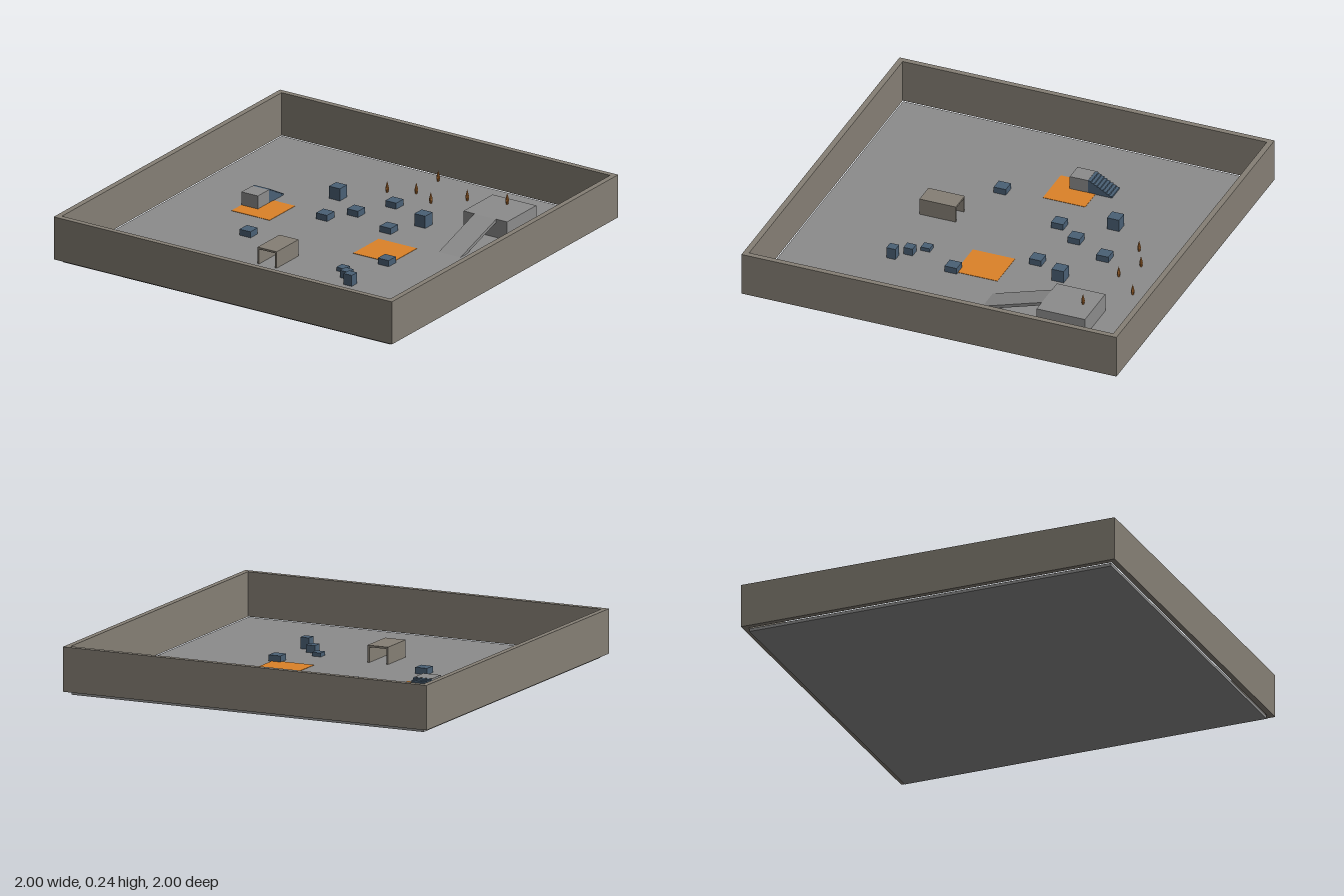
import * as THREE from 'three';

const U = 2 / 62; // one layout unit
const FLOOR = 0.5 * U; // height of the floor's top

const mat = (color) => new THREE.MeshStandardMaterial({ color, flatShading: true });

export function createModel() {
  const model = new THREE.Group();
  const grey = mat(0x8c8c8c);
  const stone = mat(0x857f75);
  const blue = mat(0x4a6075);
  const orange = mat(0xdc8228);
  const brown = mat(0xb87333);

  function add(name, geometry, material, x, y, z, parent = model) {
    const mesh = new THREE.Mesh(geometry, material);
    mesh.name = name;
    mesh.position.set(x, y, z);
    parent.add(mesh);
    return mesh;
  }

  // Box sized in layout units, standing on height y0 (also in units above the floor)
  function block(name, material, x, z, w, h, d, y0 = 0, parent = model) {
    return add(name, new THREE.BoxGeometry(w * U, h * U, d * U), material,
      x * U, FLOOR + (y0 + h / 2) * U, z * U, parent);
  }

  // Floor slab
  block('floor', grey, 0, 0, 60, 0.5, 60, -0.5);

  // Perimeter wall as one square frame
  const square = (T, r) => {
    const s = new T();
    s.moveTo(-r, -r);
    s.lineTo(r, -r);
    s.lineTo(r, r);
    s.lineTo(-r, r);
    s.closePath();
    return s;
  };
  const frame = square(THREE.Shape, 1);
  frame.holes.push(square(THREE.Path, 30.1 * U));
  const wall = new THREE.ExtrudeGeometry(frame, { depth: 7 * U, bevelEnabled: false });
  wall.rotateX(-Math.PI / 2);
  add('perimeterWall', wall, stone, 0, FLOOR + 0.002, 0);

  // Flat marked pads
  for (const [x, z] of [[-16, -4], [9, 0]]) block('pad', orange, x, z, 7, 0.06, 7);

  // Raised platform and its tilted ramp
  block('platform', grey, 18, -18, 8, 3, 8);
  const run = 9.75, rise = 3, thick = 0.5;
  const angle = Math.atan2(rise, run);
  const ramp = block('ramp', grey, 18, 0, 4, thick, Math.hypot(run, rise));
  ramp.rotation.x = angle;
  ramp.position.z = (-14 + run / 2 - Math.sin(angle) * thick / 2) * U;
  ramp.position.y = FLOOR + (rise / 2 - Math.cos(angle) * thick / 2) * U;

  // Staircase rising to a landing
  const stairs = new THREE.Group();
  stairs.name = 'staircase';
  model.add(stairs);
  for (let i = 0; i < 8; i++) {
    block('step', blue, -18, -10 + i * 0.5, 3, (i + 1) * 0.27, 0.5, 0, stairs);
  }
  block('landing', grey, -18, -4.75, 3, 2.2, 3, 0, stairs);

  // Crates: x, z, height
  const crates = [
    [-9, -14, 2], [0, -16, 1], [-3, -10, 1], [8, -12, 2],
    [-6, -6, 1], [5, -7, 1], [12, 4, 1], [-12, 6, 1],
  ];
  for (const [x, z, h] of crates) block('crate', blue, x, z, 2, h, 2);

  // Three small crates of growing height
  for (let i = 0; i < 3; i++) {
    block('smallCrate', blue, 8 + i * 2, 10 + i * 2, 1.5, 0.6 * (i + 1), 1.5);
  }

  // Crawl tunnel: two side walls and a roof
  const tunnel = new THREE.Group();
  tunnel.name = 'tunnel';
  model.add(tunnel);
  for (const side of [-1, 1]) {
    block('tunnelWall', stone, -2.6 + side * 1.6, 12, 0.3, 2.4, 6, 0, tunnel);
  }
  block('tunnelRoof', stone, -2.6, 12, 3.5, 0.3, 6, 2.4, tunnel);

  // Pointed markers, one standing on the platform: x, z, base height
  const profile = [[0, 0], [0.17, 0], [0.29, 0.6], [0.22, 1], [0, 1.8]]
    .map(([r, y]) => new THREE.Vector2(r * U, y * U));
  const marker = new THREE.LatheGeometry(profile, 8);
  const spots = [
    [0, -28, 0], [8, -24, 0], [0, -22, 0], [-4, -20, 0], [4, -20, 0], [18, -20, 3],
  ];
  for (const [x, z, y] of spots) add('marker', marker, brown, x * U, FLOOR + y * U, z * U);

  return model;
}
